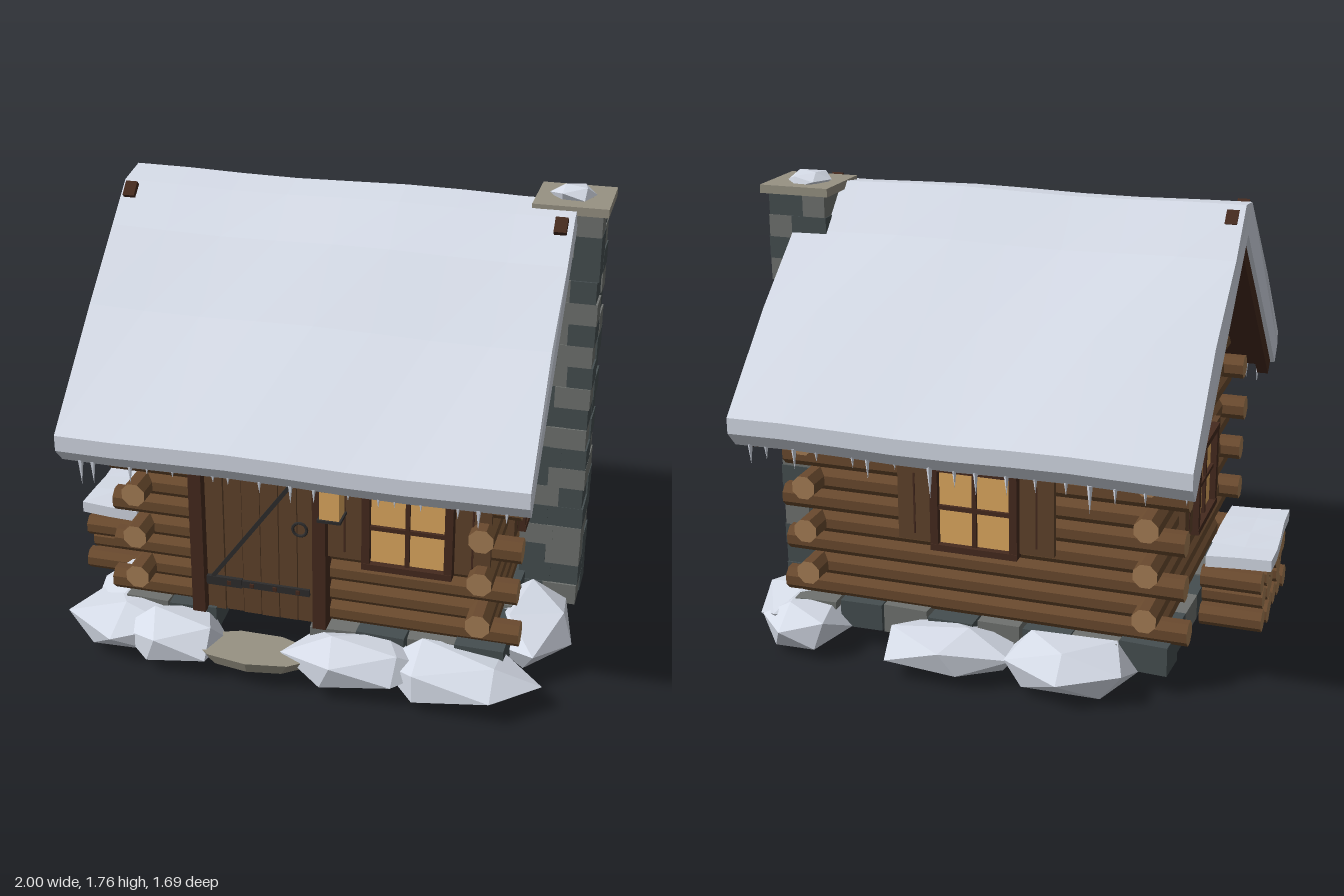
import * as THREE from 'three';

const mat = (name, color) => {
  const m = new THREE.MeshStandardMaterial({ color, flatShading: true });
  m.name = name;
  return m;
};
const M = {
  snow: mat('snow', 0xd9dfeb), log: mat('log bark', 0x6a4a2e), cut: mat('cut wood', 0xa67e55),
  trim: mat('dark timber', 0x452a1e), plank: mat('planks', 0x60432b), stone: mat('light stone', 0x6f726f),
  dark: mat('dark stone', 0x454e50), slab: mat('slab stone', 0x979283), iron: mat('iron', 0x2d2c2c),
  glow: mat('lit glass', 0xe0aa60),
};

// Seeded random; jit is centred on zero
let seed = 7;
const rnd = () => (seed = (seed * 16807) % 2147483647) / 2147483647;
const jit = (a) => (rnd() - 0.5) * 2 * a;

function add(parent, name, geo, material, x = 0, y = 0, z = 0) {
  const m = new THREE.Mesh(geo, material);
  m.name = name;
  m.position.set(x, y, z);
  parent.add(m);
  return m;
}
const box = (p, name, material, w, h, d, x, y, z) => add(p, name, new THREE.BoxGeometry(w, h, d), material, x, y, z);
function group(parent, name) {
  const g = new THREE.Group();
  g.name = name;
  parent.add(g);
  return g;
}
// Box beam running between two points
function beam(p, name, material, a, b, w, h) {
  const A = new THREE.Vector3(...a), B = new THREE.Vector3(...b);
  const m = box(p, name, material, w, h, A.distanceTo(B), 0, 0, 0);
  m.position.copy(A).add(B).multiplyScalar(0.5);
  m.lookAt(B);
  return m;
}
// Log with pale cut ends, along x or z, from a to b
function log(p, name, axis, a, b, y, other, r = 0.048) {
  const geo = new THREE.CylinderGeometry(r, r, b - a, 8).rotateY(Math.PI / 8);
  if (axis === 'x') geo.rotateZ(Math.PI / 2); else geo.rotateX(Math.PI / 2);
  const mid = (a + b) / 2;
  return add(p, name, geo, [M.log, M.cut, M.cut], axis === 'x' ? mid : other, y, axis === 'x' ? other : mid);
}
// Angular lump; vertices are moved by a rule of their position so corners stay joined
function lump(p, name, x, y, z, rx, ry, rz) {
  const geo = new THREE.IcosahedronGeometry(1, 0).rotateY(x * 9 + z * 5).rotateX(z * 4);
  const pos = geo.attributes.position, v = new THREE.Vector3();
  for (let i = 0; i < pos.count; i++) {
    v.fromBufferAttribute(pos, i);
    const k = 1.04 + 0.14 * Math.sin(v.x * 7 + x * 31) * Math.cos(v.z * 6 + v.y * 4 + z * 23);
    pos.setXYZ(i, v.x * k * rx, v.y * k * ry, v.z * k * rz);
  }
  return add(p, name, geo, M.snow, x, y, z);
}

const XL = -0.62, XR = 0.69, CX = 0.035, ZW = 0.505, PITCH = 0.0875, Y0 = 0.242;

function walls(root) {
  const g = group(root, 'logWalls');
  for (let i = 0; i < 15; i++) {
    const y = Y0 + i * PITCH;
    if (i < 10) {
      // front and back courses, every other one running past the corners
      const e = i % 2 === 0 ? 0.13 : 0;
      const l = XL - e + jit(e * 0.08), r = XR + e + jit(e * 0.08);
      log(g, 'backLog', 'x', l, r, y, -ZW);
      if (y < 0.88) {
        log(g, 'frontLog', 'x', l, -0.37, y, ZW);
        log(g, 'frontLog', 'x', 0.08, r, y, ZW);
      } else log(g, 'frontLog', 'x', l, r, y, ZW);
    }
    // side courses, shrinking into the gables under the roof deck
    const half = i < 10 ? (i % 2 ? 0.635 : 0.5) : (1.565 - y) / 0.935 - 0.01;
    for (const x of [XL, XR]) log(g, i < 10 ? 'sideLog' : 'gableLog', 'z', -half + jit(0.006), half + jit(0.006), y, x);
  }
}

function foundation(root) {
  const g = group(root, 'foundation');
  const block = (x, z, w, d, i) => box(g, 'foundationStone', i % 2 ? M.stone : M.dark,
    w + jit(0.012), 0.105 + jit(0.012), d + jit(0.02), x, 0.145 + jit(0.006), z).rotation.y = jit(0.07);
  for (let i = 0; i < 8; i++) {
    const x = -0.61 + i * 0.186;
    block(x, -ZW, 0.175, 0.15, i);
    if (x < -0.42 || x > 0.1) block(x, ZW, 0.175, 0.15, i + 1);
  }
  for (let i = 0; i < 5; i++) for (const x of [XL, XR]) block(x, -0.36 + i * 0.18, 0.15, 0.17, i);
  add(g, 'doorStep', new THREE.CylinderGeometry(0.24, 0.2, 0.045, 9).scale(1, 1, 0.45), M.slab, -0.14, 0.11, 0.7);
}

function roof(root) {
  const g = group(root, 'roof');
  // snow blanket: side profile drawn out along the ridge, gently waved
  const s = new THREE.Shape();
  [[0.79, 0.885], [0.845, 0.945], [0.845, 1.005], [0.45, 1.35], [0.22, 1.58], [0.07, 1.71], [-0.08, 1.73],
    [-0.24, 1.565], [-0.5, 1.325], [-0.845, 1.005], [-0.845, 0.945], [-0.79, 0.885], [0, 1.605]]
    .forEach(([z, y], i) => (i ? s.lineTo(-z, y) : s.moveTo(-z, y)));
  const geo = new THREE.ExtrudeGeometry(s, { depth: 1.7, steps: 8, bevelEnabled: false });
  geo.rotateY(Math.PI / 2).translate(-0.82, 0, 0);
  const pos = geo.attributes.position;
  for (let i = 0; i < pos.count; i++) {
    const x = pos.getX(i), z = pos.getZ(i);
    pos.setY(i, pos.getY(i) + 0.005 * Math.sin(x * 6 + z * 3));
    pos.setX(i, x + 0.005 * Math.sin(z * 9));
  }
  geo.computeVertexNormals();
  add(g, 'roofSnow', geo, M.snow);
  for (const f of [1, -1]) {
    // plank deck, barge boards crossing at the ridge, and icicles
    beam(g, 'roofDeck', M.trim, [CX, 0.897, f * 0.74], [CX, 1.585, 0], 1.63, 0.03);
    for (const x of [-0.78, 0.84])
      beam(g, 'bargeBoard', M.trim, [x, 0.876, f * 0.735], [x, 1.697, -f * 0.12], 0.045, 0.06);
    for (let i = 0; i < 17; i++) {
      const h = 0.03 + rnd() * rnd() * 0.1;
      const cone = new THREE.ConeGeometry(0.005 + h * 0.06, h, 5).rotateX(Math.PI);
      add(g, 'icicle', cone, M.snow, -0.77 + i * 0.1 + jit(0.03), 0.895 - h / 2, f * 0.79);
    }
  }
}

function chimney(root) {
  const g = group(root, 'chimney');
  const rows = 19, h = 1.62 / rows, cx = 0.855, cz = -0.127, w = 0.118;
  for (let i = 0; i < rows; i++) {
    const sx = (i % 2 ? 0.02 : -0.02) + jit(0.01), sz = (i % 2 ? -0.012 : 0.012) + jit(0.01);
    for (const a of [-1, 1]) for (const b of [-1, 1]) {
      // mostly chequered, with an occasional odd stone
      const light = (a * b > 0) === (i % 2 === 0) ? rnd() < 0.85 : rnd() < 0.1;
      const ex = a * (w + jit(0.005)), ez = b * (w + jit(0.005));
      box(g, 'chimneyStone', light ? M.stone : M.dark, Math.abs(ex - sx), h, Math.abs(ez - sz),
        cx + (ex + sx) / 2, 0.08 + h * (i + 0.5), cz + (ez + sz) / 2);
    }
  }
  box(g, 'chimneyCap', M.slab, 0.276, 0.032, 0.276, 0.857, 1.714, cz);
  lump(g, 'chimneySnow', 0.85, 1.735, -0.135, 0.088, 0.037, 0.088);
}

// Shuttered window facing +z, origin at its centre on the wall face
function shutteredWindow(root, name, x, z, turn) {
  const g = group(root, name);
  g.position.set(x, 0.648, z);
  g.rotation.y = turn;
  box(g, 'glass', M.glow, 0.28, 0.3, 0.008, 0, 0, 0.012);
  for (const s of [-1, 1]) {
    box(g, 'frameSide', M.trim, 0.03, 0.33, 0.05, s * 0.153, 0, 0.015);
    box(g, 'frameRail', M.trim, 0.335, 0.025, 0.055, 0, s * 0.157, 0.015);
    box(g, 'shutter', M.plank, 0.13, 0.295, 0.024, s * 0.237, 0, 0.006);
    box(g, 'shutterGroove', M.trim, 0.007, 0.24, 0.006, s * 0.237, 0, 0.018);
  }
  box(g, 'mullion', M.trim, 0.016, 0.3, 0.018, 0, 0, 0.02);
  box(g, 'crossbar', M.trim, 0.28, 0.016, 0.018, 0, 0, 0.02);
}

function door(root) {
  const g = group(root, 'door');
  for (let i = 0; i < 6; i++)
    box(g, 'doorPlank', M.plank, 0.068, 0.68, 0.035, -0.326 + i * 0.0715, 0.54, 0.55 + jit(0.004));
  box(g, 'doorBacking', M.plank, 0.42, 0.68, 0.012, -0.147, 0.54, 0.54);
  for (const x of [-0.385, 0.09]) box(g, 'doorPost', M.trim, 0.05, 0.7, 0.12, x, 0.55, 0.55);
  box(g, 'lintel', M.trim, 0.525, 0.05, 0.12, -0.147, 0.915, 0.55);
  for (const y of [0.33, 0.865]) {
    box(g, 'hingeStrap', M.iron, 0.4, 0.028, 0.012, -0.155, y, 0.577);
    box(g, 'hingePlate', M.iron, 0.14, 0.036, 0.016, -0.29, y, 0.577);
    for (let i = 0; i < 4; i++) box(g, 'strapRivet', M.trim, 0.016, 0.016, 0.01, -0.27 + i * 0.09, y, 0.584);
  }
  beam(g, 'doorBrace', M.iron, [-0.34, 0.34, 0.576], [0.03, 0.85, 0.576], 0.012, 0.016);
  add(g, 'doorRing', new THREE.TorusGeometry(0.027, 0.006, 6, 14), M.iron, 0.01, 0.6, 0.582);
}

function lantern(root) {
  const g = group(root, 'lantern');
  const x = 0.16, z = 0.682;
  box(g, 'lanternGlass', M.glow, 0.073, 0.115, 0.073, x, 0.79, z);
  box(g, 'lanternBase', M.iron, 0.088, 0.01, 0.088, x, 0.729, z);
  add(g, 'lanternCap', new THREE.ConeGeometry(0.062, 0.03, 4).rotateY(Math.PI / 4), M.iron, x, 0.863, z);
  beam(g, 'bracketArm', M.iron, [x, 0.93, 0.54], [x, 0.93, z + 0.01], 0.012, 0.012);
  beam(g, 'bracketStay', M.iron, [x, 0.97, 0.64], [x, 0.89, 0.55], 0.012, 0.012);
  box(g, 'hook', M.iron, 0.01, 0.06, 0.01, x, 0.9, z);
}

function woodpile(root) {
  const g = group(root, 'woodpile');
  for (let r = 0; r < 3; r++)
    for (let i = 0; i < 6 - (r % 2); i++)
      log(g, 'firewood', 'x', -0.97 + jit(0.01), -0.73, 0.155 + r * 0.078, -0.155 + (r % 2) * 0.042 + i * 0.084, 0.044);
  // snow sheet lying on the pile
  const geo = new THREE.BoxGeometry(0.25, 0.045, 0.51, 2, 1, 4);
  const pos = geo.attributes.position;
  for (let i = 0; i < pos.count; i++) {
    const x = pos.getX(i), z = pos.getZ(i);
    pos.setY(i, pos.getY(i) + 0.008 * Math.sin(z * 14 + x * 9));
    if (x < 0) pos.setX(i, x + 0.009 * (1 + Math.sin(z * 8)));
  }
  add(g, 'woodpileSnow', geo, M.snow, -0.875, 0.4, 0.05);
}

function drifts(root) {
  const g = group(root, 'snowDrifts');
  [[-0.66, 0.58, 0.24, 0.22], [-0.46, 0.66, 0.22, 0.15], [0.24, 0.66, 0.28, 0.17], [0.64, 0.63, 0.31, 0.18],
    [0.82, 0.22, 0.18, 0.28], [0.8, -0.44, 0.16, 0.25], [0.12, -0.65, 0.27, 0.17], [-0.34, -0.65, 0.27, 0.17],
    [-0.72, 0.42, 0.16, 0.25], [0.72, -0.6, 0.17, 0.18]]
    .forEach(([x, z, rx, rz], i) => lump(g, 'snowDrift', x, 0.112 + (i % 3) * 0.006, z, rx, 0.095, rz));
}

export function createModel() {
  const root = new THREE.Group();
  root.name = 'logCabin';
  seed = 7;
  walls(root);
  foundation(root);
  roof(root);
  chimney(root);
  door(root);
  lantern(root);
  shutteredWindow(root, 'frontWindow', 0.415, 0.556, 0);
  shutteredWindow(root, 'backWindow', CX, -0.556, Math.PI);
  shutteredWindow(root, 'leftWindow', XR + 0.051, 0, Math.PI / 2);
  shutteredWindow(root, 'rightWindow', XL - 0.051, 0, -Math.PI / 2);
  woodpile(root);
  drifts(root);
  return root;
}
